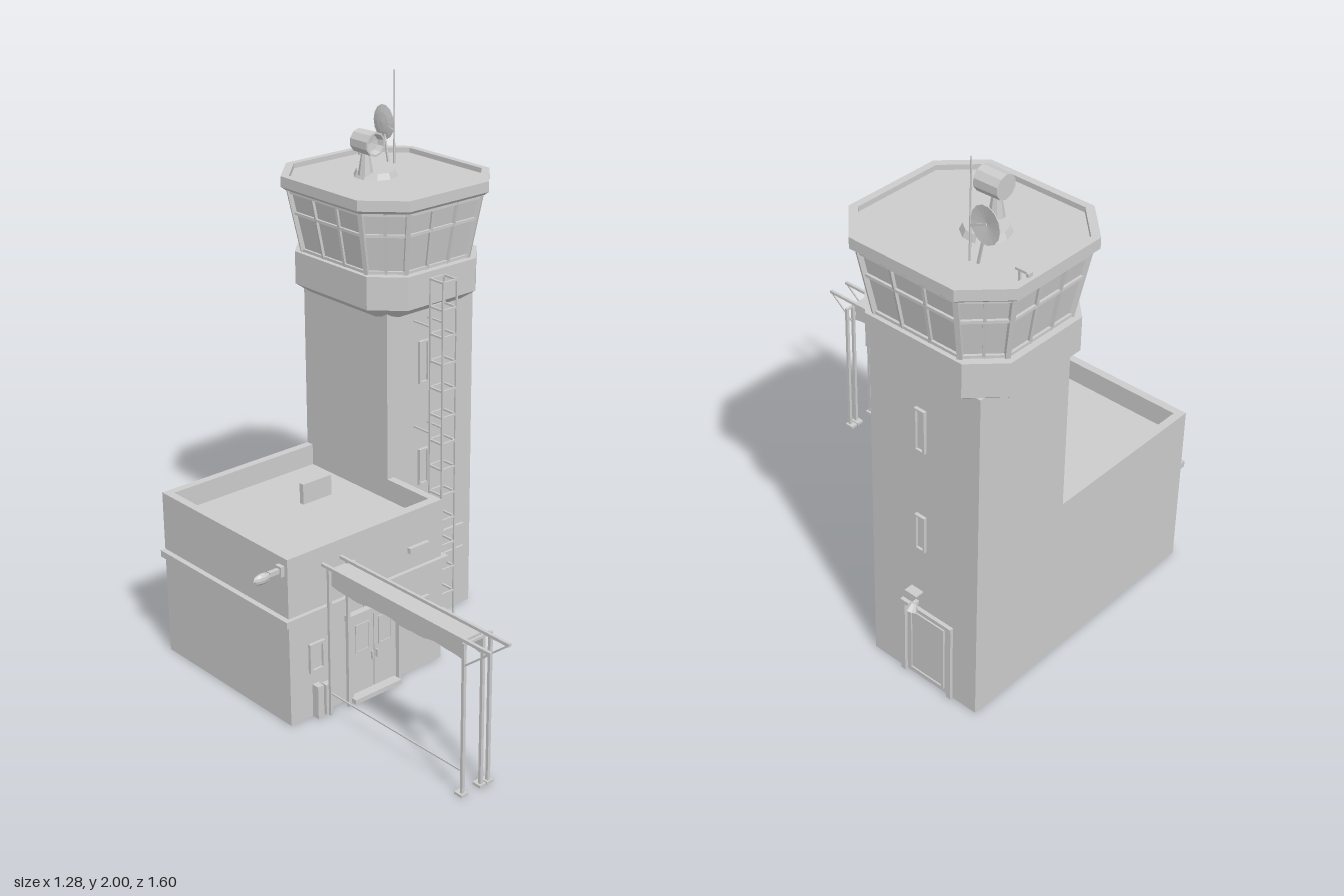
import * as THREE from 'three';

const grey = new THREE.MeshStandardMaterial({ color: 0xcccccc, flatShading: true });
const thin = new THREE.MeshStandardMaterial({ color: 0xcccccc, flatShading: true, side: THREE.DoubleSide });
const V = (x, y, z) => new THREE.Vector3(x, y, z);

function add(parent, name, geo, mat = grey) {
  const m = new THREE.Mesh(geo, mat);
  m.name = name;
  parent.add(m);
  return m;
}

// Box given by its min and max on each axis
function box(parent, name, x0, x1, y0, y1, z0, z1) {
  const m = add(parent, name, new THREE.BoxGeometry(x1 - x0, y1 - y0, z1 - z0));
  m.position.set((x0 + x1) / 2, (y0 + y1) / 2, (z0 + z1) / 2);
  return m;
}

// Square bar between two points
function bar(parent, name, p, q, t = 0.008) {
  const m = add(parent, name, new THREE.BoxGeometry(t, t, p.distanceTo(q)));
  m.position.copy(p).lerp(q, 0.5);
  m.lookAt(q);
  return m;
}

function group(parent, name) {
  const g = new THREE.Group();
  g.name = name;
  parent.add(g);
  return g;
}

// Corners of the chamfered plan of the control cab
const CX = 0.33, CZ = -0.4675;
function octagon([y, hx, hz, c]) {
  return [[hx, -hz + c], [hx, hz - c], [hx - c, hz], [-hx + c, hz], [-hx, hz - c], [-hx, -hz + c], [-hx + c, -hz], [hx - c, -hz]]
    .map(([x, z]) => V(CX + x, y, CZ + z));
}

// Closed solid through a stack of octagons
function loft(levels) {
  const rings = levels.map(octagon), pos = [];
  const tri = (...ps) => ps.forEach(p => pos.push(p.x, p.y, p.z));
  for (let r = 0; r < rings.length - 1; r++) {
    for (let i = 0; i < 8; i++) {
      const j = (i + 1) % 8, lo = rings[r], hi = rings[r + 1];
      tri(lo[i], hi[i], lo[j]);
      tri(lo[j], hi[i], hi[j]);
    }
  }
  const first = rings[0], last = rings[rings.length - 1];
  for (let i = 1; i < 7; i++) {
    tri(first[0], first[i], first[i + 1]);
    tri(last[0], last[i + 1], last[i]);
  }
  const g = new THREE.BufferGeometry();
  g.setAttribute('position', new THREE.Float32BufferAttribute(pos, 3));
  g.computeVertexNormals();
  return g;
}

// Rectangular frame standing on a front wall (plane z)
function frame(parent, name, x0, x1, y0, y1, z, t = 0.01, d = 0.012) {
  const g = group(parent, name);
  box(g, 'frameLeft', x0, x0 + t, y0, y1, z, z + d);
  box(g, 'frameRight', x1 - t, x1, y0, y1, z, z + d);
  box(g, 'frameTop', x0, x1, y1 - t, y1, z, z + d);
  box(g, 'frameBottom', x0, x1, y0, y0 + t, z, z + d);
  box(g, 'pane', x0, x1, y0, y1, z, z + 0.003);
  return g;
}

// Small wall lamp that points along +z
function wallLamp(parent, x, y, z) {
  const g = group(parent, 'wallLamp');
  box(g, 'lampArm', -0.006, 0.006, 0, 0.012, 0, 0.025);
  const s = add(g, 'lampShade', new THREE.CylinderGeometry(0.01, 0.02, 0.025, 8));
  s.position.z = 0.022;
  s.rotation.x = -0.5;
  g.position.set(x, y, z);
  return g;
}

function annex(root) {
  const g = group(root, 'annexBuilding');
  box(g, 'walls', -0.52, 0.17, 0, 0.55, -0.7, 0);
  box(g, 'parapetFront', -0.52, 0.17, 0.55, 0.63, -0.035, 0);
  box(g, 'parapetBack', -0.52, 0.17, 0.55, 0.63, -0.7, -0.67);
  box(g, 'parapetRight', -0.52, -0.49, 0.55, 0.63, -0.7, 0);
  box(g, 'parapetLeft', 0.14, 0.17, 0.55, 0.63, -0.7, 0);
  box(g, 'roofVent', -0.11, 0.02, 0.55, 0.628, -0.44, -0.42);
  // Ledge wraps the front and both ends
  box(g, 'ledge', -0.54, 0.19, 0.385, 0.41, -0.25, 0.015);
  box(g, 'ledgeEnd', -0.54, -0.52, 0.385, 0.41, -0.7, -0.25);

  // Double door with step
  const d = group(g, 'entrance');
  box(d, 'jamb', -0.275, -0.26, 0, 0.335, 0, 0.022);
  box(d, 'jamb', -0.05, -0.035, 0, 0.335, 0, 0.022);
  box(d, 'lintel', -0.28, -0.03, 0.315, 0.338, 0, 0.025);
  for (const x of [-0.257, -0.153]) {
    box(d, 'doorLeaf', x, x + 0.1, 0.015, 0.31, 0, 0.008);
    frame(d, 'doorWindow', x + 0.018, x + 0.082, 0.175, 0.285, 0.006, 0.007, 0.006);
    box(d, 'doorHandle', x < -0.2 ? x + 0.088 : x + 0.006, x < -0.2 ? x + 0.094 : x + 0.012, 0.13, 0.16, 0.008, 0.018);
  }
  box(d, 'step', -0.27, -0.06, 0, 0.018, 0, 0.045);
  wallLamp(g, -0.195, 0.37, 0);

  // Front windows, vent and service boxes
  frame(g, 'window', 0.005, 0.105, 0.175, 0.283, 0);
  frame(g, 'narrowWindow', -0.44, -0.375, 0.175, 0.285, 0);
  box(g, 'wallVent', 0.01, 0.1, 0.475, 0.496, 0, 0.016);
  box(g, 'serviceBox', -0.425, -0.4, 0, 0.125, 0, 0.03);
  box(g, 'serviceBox', -0.385, -0.36, 0, 0.115, 0, 0.025);

  // Floodlight on the end wall
  const f = group(g, 'floodlight');
  box(f, 'mount', -0.535, -0.52, 0.565, 0.602, -0.045, -0.015);
  bar(f, 'arm', V(-0.53, 0.585, -0.03), V(-0.575, 0.585, -0.03), 0.016);
  const head = add(f, 'floodlightHead', new THREE.SphereGeometry(1, 10, 6));
  head.scale.set(0.036, 0.02, 0.014);
  head.position.set(-0.604, 0.58, -0.028);
}

function tower(root) {
  const g = group(root, 'tower');
  box(g, 'shaft', 0.14, 0.55, 0, 1.27, -0.7, -0.25);
  for (const [y0, y1] of [[0.565, 0.705], [0.96, 1.12]]) {
    frame(g, 'frontSlitWindow', 0.285, 0.33, y0, y1, -0.25, 0.007);
    const side = frame(g, 'sideSlitWindow', -0.021, 0.021, y0, y1, 0, 0.007);
    side.rotation.y = Math.PI / 2;
    side.position.set(0.55, 0, -0.465);
  }
  // Side door, built facing front and turned to the side
  const d = group(g, 'sideDoor');
  box(d, 'jamb', -0.11, -0.092, 0, 0.31, 0, 0.012);
  box(d, 'jamb', 0.092, 0.11, 0, 0.31, 0, 0.012);
  box(d, 'lintel', -0.11, 0.11, 0.295, 0.31, 0, 0.014);
  frame(d, 'doorLeaf', -0.075, 0.075, 0.02, 0.28, 0, 0.008, 0.008);
  wallLamp(d, -0.045, 0.322, 0).scale.setScalar(1.1);
  box(d, 'lampHood', -0.07, -0.02, 0.38, 0.386, 0, 0.034);
  d.rotation.y = Math.PI / 2;
  d.position.set(0.55, 0, -0.49);
  // Shallow louvre on the front
  box(g, 'louvreTop', 0.32, 0.51, 0.332, 0.342, -0.25, -0.238);
  box(g, 'louvreBottom', 0.32, 0.51, 0.238, 0.248, -0.25, -0.238);
  box(g, 'louvrePanel', 0.325, 0.505, 0.24, 0.34, -0.25, -0.247);
}

function cab(root) {
  const g = group(root, 'controlCab');
  add(g, 'skirt', loft([[1.24, 0.205, 0.235, 0.06], [1.28, 0.26, 0.293, 0.1], [1.4, 0.26, 0.293, 0.1]]));
  const low = [1.4, 0.24, 0.265, 0.095], high = [1.63, 0.283, 0.305, 0.115];
  add(g, 'glazing', loft([[1.4, 0.235, 0.26, 0.093], [1.63, 0.278, 0.3, 0.113]]));
  add(g, 'roof', loft([[1.63, 0.295, 0.315, 0.12], [1.642, 0.308, 0.328, 0.125], [1.68, 0.308, 0.328, 0.125],
    [1.68, 0.283, 0.303, 0.115], [1.662, 0.283, 0.303, 0.115]]));
  // Window posts and rails
  const a = octagon(low), b = octagon(high);
  for (let i = 0; i < 8; i++) {
    const j = (i + 1) % 8, n = i % 2 ? 2 : 3;
    const at = (s, t) => a[i].clone().lerp(a[j], s).lerp(b[i].clone().lerp(b[j], s), t);
    bar(g, 'cornerPost', at(0, 0), at(0, 1), 0.016);
    for (let k = 1; k < n; k++) bar(g, 'mullion', at(k / n, 0), at(k / n, 1), 0.01);
    for (const t of [0.03, 0.63, 0.97]) bar(g, 'rail', at(0, t), at(1, t), 0.01);
  }
}

function roofGear(root) {
  const g = group(root, 'roofEquipment');
  add(g, 'turntable', new THREE.CylinderGeometry(0.07, 0.08, 0.022, 10)).position.set(0.32, 1.673, -0.51);
  add(g, 'pedestal', new THREE.CylinderGeometry(0.015, 0.028, 0.08, 8)).position.set(0.265, 1.715, -0.5);
  // Open drum on the pedestal
  const drum = add(g, 'radarDrum', new THREE.LatheGeometry(
    [[0, -0.045], [0.042, -0.045], [0.044, 0.045], [0.037, 0.045], [0.03, 0.02], [0, 0.015]].map(p => new THREE.Vector2(...p)), 10), thin);
  drum.rotation.x = Math.PI / 2;
  drum.position.set(0.265, 1.793, -0.49);
  // Mast with side dish
  add(g, 'mast', new THREE.CylinderGeometry(0.0025, 0.004, 0.34, 6)).position.set(0.473, 1.83, -0.583);
  const dish = add(g, 'dish', new THREE.LatheGeometry(
    [[0, 0], [0.03, 0.003], [0.054, 0.009], [0.054, 0.012], [0, 0.004]].map(p => new THREE.Vector2(...p)), 14), thin);
  dish.rotation.z = -Math.PI / 2;
  dish.scale.x = 1.18;
  dish.position.set(0.464, 1.803, -0.64);
  bar(g, 'dishArm', V(0.468, 1.803, -0.64), V(0.473, 1.78, -0.583), 0.007);
  bar(g, 'dishStay', V(0.468, 1.76, -0.63), V(0.468, 1.662, -0.61), 0.007);
  // Small rear bracket
  bar(g, 'bracketArm', V(0.457, 1.7, -0.74), V(0.457, 1.7, -0.795), 0.008);
  bar(g, 'bracketPost', V(0.457, 1.66, -0.755), V(0.457, 1.7, -0.755), 0.007);
  box(g, 'bracketHead', 0.449, 0.467, 1.693, 1.705, -0.795, -0.785);
}

function ladder(root) {
  const g = group(root, 'ladder');
  const x0 = 0.268, x1 = 0.332, z0 = -0.167, z1 = -0.104;
  for (const x of [x0, x1]) for (const z of [z0, z1]) bar(g, 'ladderRail', V(x, 0.055, z), V(x, 1.38, z), 0.007);
  for (let i = 0; i < 14; i++) {
    const y = 0.075 + i * 0.1;
    bar(g, 'rung', V(x0, y, z0), V(x1, y, z0), 0.007);
    bar(g, 'cageFront', V(x0, y, z1), V(x1, y, z1), 0.007);
    for (const x of [x0, x1]) bar(g, 'cageSide', V(x, y, z0), V(x, y, z1), 0.007);
  }
  for (const y of [0.4, 0.8, 1.2]) for (const x of [x0, x1]) bar(g, 'wallTie', V(x, y, z0), V(x, y, -0.25), 0.006);
}

function walkway(root) {
  const g = group(root, 'canopy');
  for (const x of [-0.373, -0.292]) {
    bar(g, 'roofRail', V(x, 0.565, 0), V(x, 0.565, 0.8), 0.011);
    bar(g, 'brace', V(x, 0.562, 0.795), V(x, 0.475, 0.685), 0.006);
    bar(g, 'rearPost', V(x, 0, 0.035), V(x, 0.565, 0.035), 0.011);
  }
  for (const x of [-0.373, -0.292, -0.26]) {
    bar(g, 'frontPost', V(x, 0, 0.683), V(x, 0.555, 0.683), 0.011);
    box(g, 'foot', x - 0.014, x + 0.014, 0, 0.01, 0.66, 0.695);
  }
  for (const z of [0.035, 0.683]) bar(g, 'crossBar', V(-0.375, 0.55, z), V(-0.258, 0.55, z), 0.009);
  // Cloth cover with hanging, uneven sides
  box(g, 'cover', -0.368, -0.297, 0.553, 0.56, 0.045, 0.675);
  for (const x of [-0.368, -0.297]) {
    const s = new THREE.PlaneGeometry(0.635, 0.066, 24, 1);
    const p = s.attributes.position;
    for (let i = 25; i < p.count; i++) p.setY(i, p.getY(i) + 0.005 * Math.sin(p.getX(i) * 23) + 0.002 * Math.sin(p.getX(i) * 61));
    s.rotateY(Math.PI / 2);
    add(g, 'hangingSide', s, thin).position.set(x, 0.526, 0.359);
  }
  bar(g, 'rope', V(-0.373, 0.09, 0.683), V(-0.373, 0.085, 0.035), 0.005);
}

export function createModel() {
  const root = new THREE.Group();
  root.name = 'controlTower';
  for (const part of [annex, tower, cab, roofGear, ladder, walkway]) part(root);
  return root;
}
